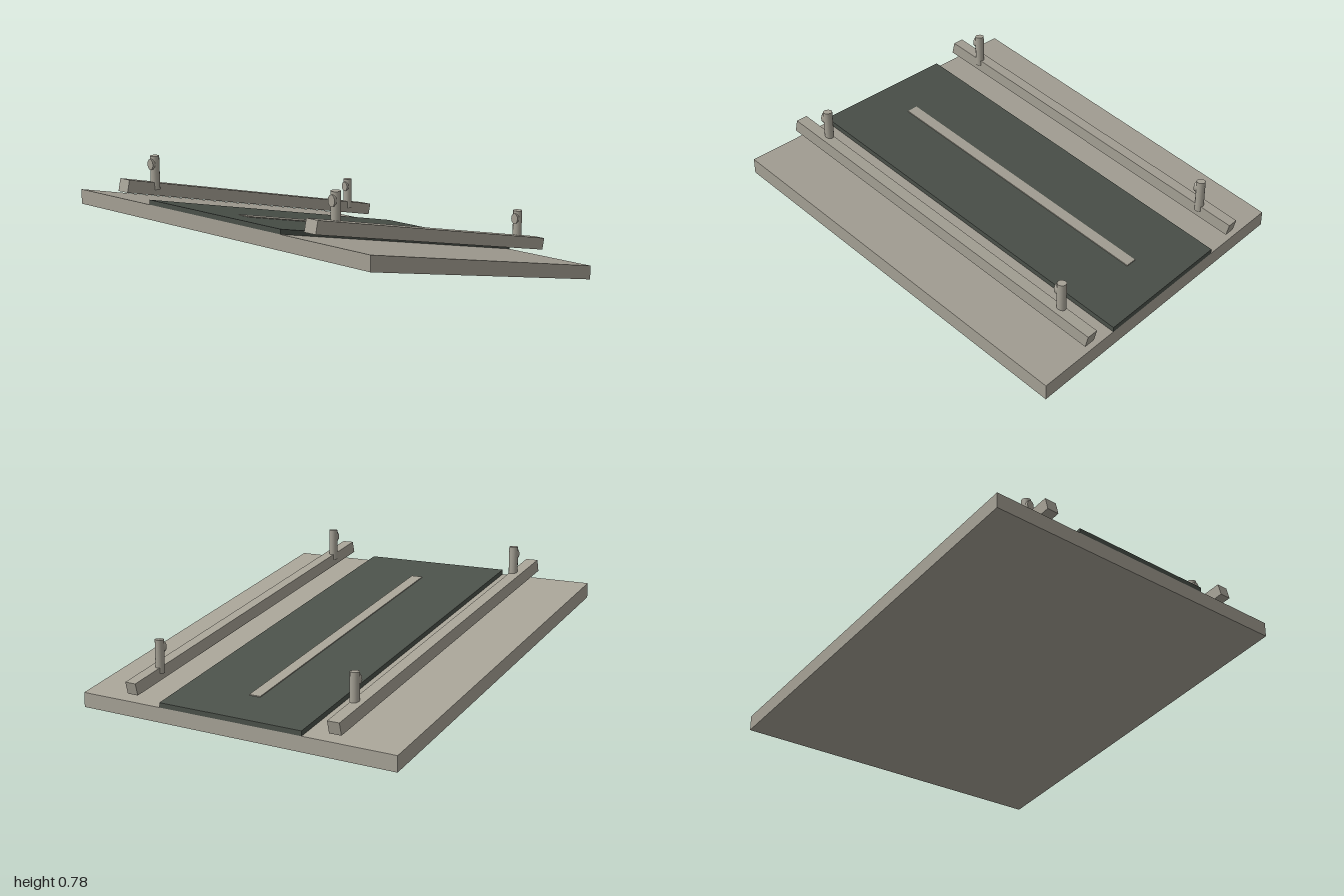
import * as THREE from 'three';

const SLOPE = 0.2535; // rise towards the front
const ANGLE = Math.atan(SLOPE);

export function createModel() {
  const group = new THREE.Group();
  const stone = new THREE.MeshStandardMaterial({ color: 0xa5a195 });
  stone.name = 'pale stone';
  const asphalt = new THREE.MeshStandardMaterial({ color: 0x4a5049 });
  asphalt.name = 'dark asphalt';

  const add = (name, geometry, material, x = 0, y = 0, z = 0) => {
    const mesh = new THREE.Mesh(geometry, material);
    mesh.name = name;
    mesh.position.set(x, y, z);
    group.add(mesh);
    return mesh;
  };

  // Box sheared along the slope, so that its ends stay vertical
  const slopedSlab = (width, height, length, bottom, z = 0) => {
    const g = new THREE.BoxGeometry(width, height, length);
    g.translate(0, bottom + height / 2, z);
    const p = g.attributes.position;
    for (let i = 0; i < p.count; i++) p.setY(i, p.getY(i) + SLOPE * p.getZ(i));
    g.computeVertexNormals();
    return g;
  };

  // Ramp deck, roadway and centre stripe
  add('deck', slopedSlab(1.976, 0.08, 1.98, 0.251), stone);
  add('roadway', slopedSlab(0.9, 0.026, 1.98, 0.331), asphalt);
  add('centreStripe', slopedSlab(0.07, 0.006, 1.545, 0.356, -0.003), stone);

  // Side rails with upright posts, mirrored
  for (const side of [-1, 1]) {
    const rail = add('rail', new THREE.BoxGeometry(0.07, 0.067, 2.046), stone, side * 0.64, 0.4025, 0);
    rail.rotation.x = -ANGLE;

    for (const z of [0.793, -0.793]) {
      const top = 0.581 + SLOPE * z;
      add('post', new THREE.CylinderGeometry(0.025, 0.025, 0.18, 12), stone, side * 0.62, top - 0.09, z);
      // Small oval lamp on the front of the post
      const lamp = new THREE.CylinderGeometry(0.03, 0.03, 0.03, 12);
      lamp.rotateX(Math.PI / 2);
      lamp.scale(0.7, 1, 1);
      add('postLamp', lamp, stone, side * 0.62, top - 0.043, z + 0.017);
    }
  }
  return group;
}
